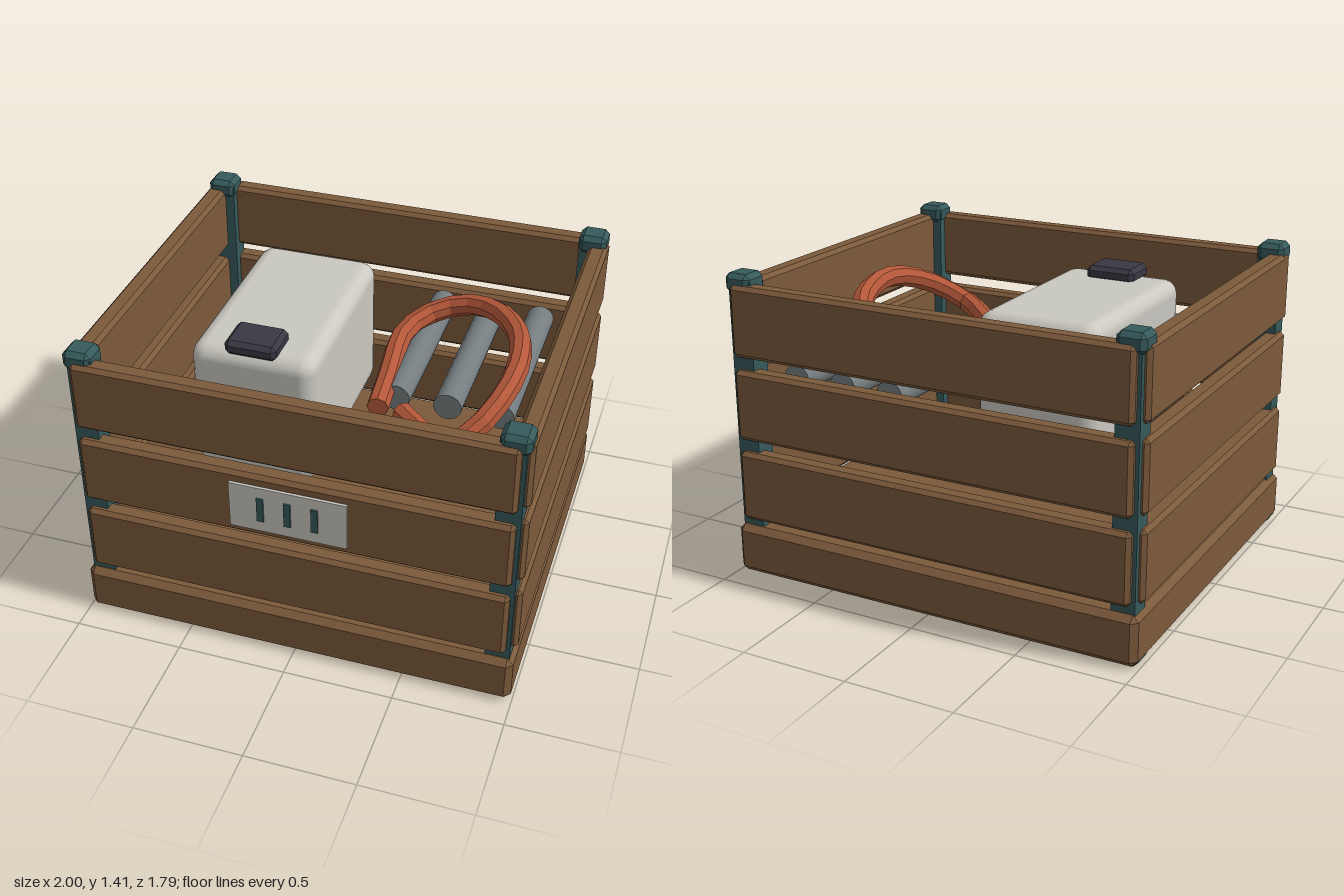
import * as THREE from 'three';
import { ConvexGeometry } from 'three/addons/geometries/ConvexGeometry.js';
import { RoundedBoxGeometry } from 'three/addons/geometries/RoundedBoxGeometry.js';

const mat = (name, color, opts = {}) => {
  const m = new THREE.MeshStandardMaterial({ color, ...opts });
  m.name = name;
  return m;
};

// Box with flat chamfered edges, centred on the origin
function chamferBox(w, h, d, c) {
  const pts = [];
  for (const sx of [-1, 1]) for (const sy of [-1, 1]) for (const sz of [-1, 1]) {
    const x = w / 2, y = h / 2, z = d / 2;
    pts.push(
      new THREE.Vector3(sx * x, sy * (y - c), sz * (z - c)),
      new THREE.Vector3(sx * (x - c), sy * y, sz * (z - c)),
      new THREE.Vector3(sx * (x - c), sy * (y - c), sz * z));
  }
  return new ConvexGeometry(pts);
}

export function createModel() {
  const model = new THREE.Group();
  model.name = 'crate';
  const wood = mat('wood', 0x7c5a3b);
  const teal = mat('tealMetal', 0x365a5b);
  const white = mat('offWhite', 0xcac8c0);
  const steel = mat('steel', 0x757d80);
  const orange = mat('orangeCable', 0xb5583a, { flatShading: true });
  const dark = mat('darkLatch', 0x3a3842);

  const add = (name, geo, material, x, y, z) => {
    const m = new THREE.Mesh(geo, material);
    m.name = name;
    m.position.set(x, y, z);
    model.add(m);
    return m;
  };

  const CZ = -0.01; // crate centre in z

  // Solid base
  add('base', chamferBox(1.985, 0.232, 1.77, 0.028), wood, 0, 0.12, CZ);

  // Three rows of slats on four sides
  const longSlat = chamferBox(1.91, 0.325, 0.09, 0.018);
  const sideSlat = chamferBox(0.09, 0.325, 1.655, 0.018);
  for (const y of [0.434, 0.817, 1.202]) {
    for (const s of [-1, 1]) {
      add(s > 0 ? 'frontSlat' : 'backSlat', longSlat, wood, 0, y, CZ + s * 0.84);
      add(s > 0 ? 'leftSlat' : 'rightSlat', sideSlat, wood, s * 0.953, y, CZ);
    }
  }

  // Corner posts with wider caps and feet
  const post = new THREE.BoxGeometry(0.108, 1.36, 0.1);
  const cap = chamferBox(0.13, 0.09, 0.13, 0.022);
  for (const sx of [-1, 1]) for (const sz of [-1, 1]) {
    const x = sx * 0.918, z = CZ + sz * 0.803;
    add('cornerPost', post, teal, x, 0.7, z);
    add('postCap', cap, teal, sx * 0.925, 1.367, z);
    add('postFoot', cap, teal, sx * 0.925, 0.045, z);
  }

  // Front plate with three slots
  add('plate', new THREE.BoxGeometry(0.52, 0.23, 0.018), white, 0, 0.815, 0.879);
  for (const x of [-0.12, 0, 0.12]) {
    add('plateSlot', new THREE.BoxGeometry(0.03, 0.12, 0.008), teal, x, 0.818, 0.892);
  }

  // Case with a latch on top
  add('case', new RoundedBoxGeometry(0.57, 0.645, 0.95, 2, 0.07), white, -0.315, 0.953, -0.015);
  add('latch', chamferBox(0.235, 0.07, 0.19, 0.02), dark, -0.315, 1.293, 0.365);

  // Three steel rods lying front to back
  const rod = new THREE.CylinderGeometry(0.065, 0.065, 0.855, 16);
  rod.rotateX(Math.PI / 2);
  for (const x of [0.235, 0.475, 0.715]) add('rod', rod, steel, x, 0.935, -0.327);

  // Loose loop of cable, tilted up towards the left
  const path = new THREE.CatmullRomCurve3([
    [0.19, 0.96, 0.23], [0.17, 0.97, 0], [0.15, 1.0, -0.34], [0.25, 1.04, -0.49],
    [0.4, 1.09, -0.52], [0.56, 1.14, -0.43], [0.7, 1.17, -0.24], [0.765, 1.2, 0],
    [0.765, 1.18, 0.2], [0.69, 1.1, 0.4], [0.58, 1.02, 0.475], [0.5, 1.0, 0.44],
    [0.31, 0.98, 0.26],
  ].map(p => new THREE.Vector3(...p)));
  add('cable', new THREE.TubeGeometry(path, 24, 0.05, 8), orange, 0, 0, 0);

  // Discs closing the cable ends
  for (const t of [0, 1]) {
    const end = add('cableEnd', new THREE.CircleGeometry(0.05, 8), orange, 0, 0, 0);
    end.position.copy(path.getPoint(t));
    const dir = path.getTangent(t).multiplyScalar(t ? 1 : -1);
    end.quaternion.setFromUnitVectors(new THREE.Vector3(0, 0, 1), dir);
  }
  return model;
}
